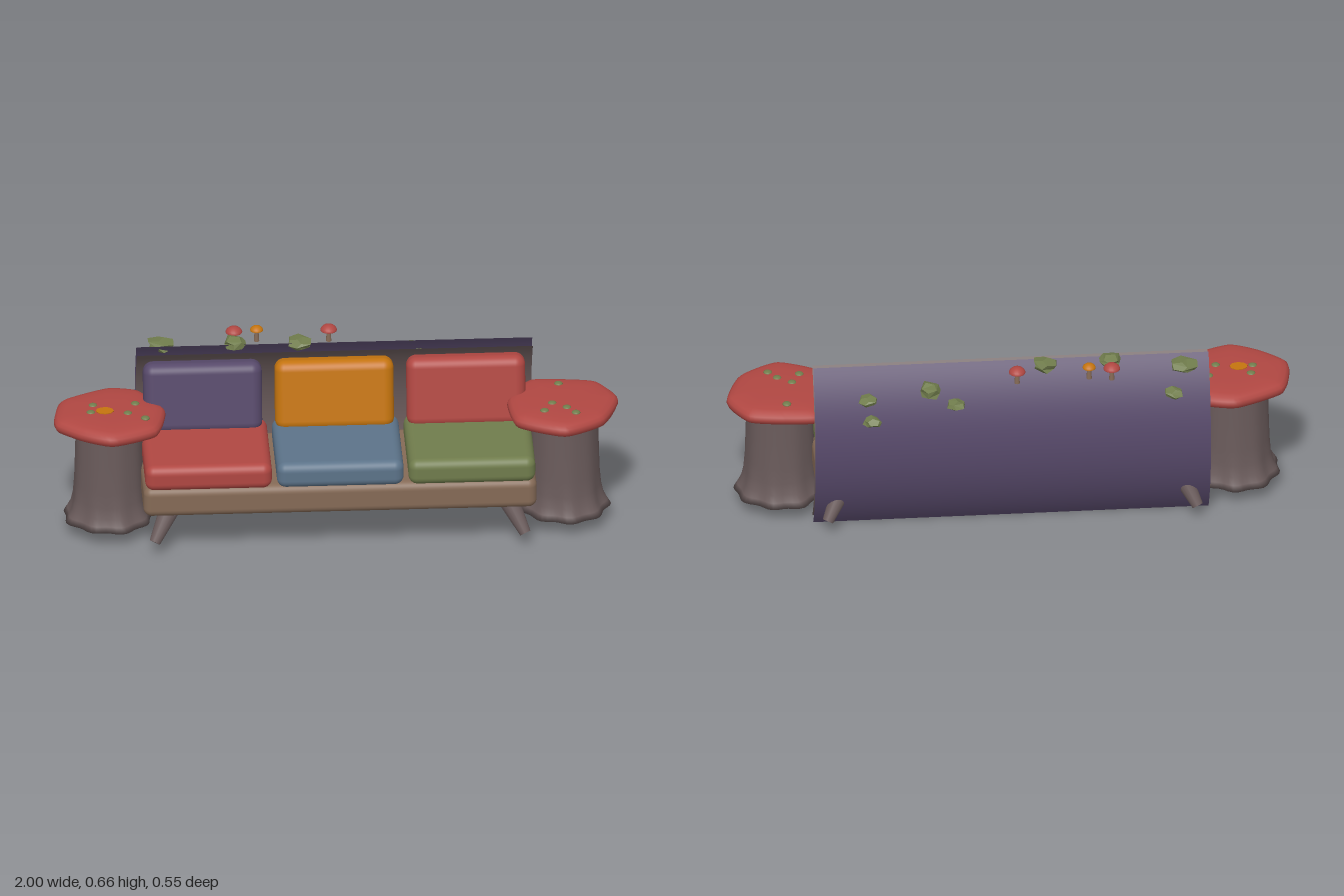
import * as THREE from 'three';
import { mergeVertices } from 'three/addons/utils/BufferGeometryUtils.js';
import { RoundedBoxGeometry } from 'three/addons/geometries/RoundedBoxGeometry.js';

const mat = (name, color, side = THREE.FrontSide) => {
  const m = new THREE.MeshStandardMaterial({ color, side });
  m.name = name;
  return m;
};

export function createModel() {
  const root = new THREE.Group();
  root.name = 'logSofa';
  const red = mat('mushroomRed', 0xb04742);
  const orange = mat('orange', 0xc4740f);
  const purple = mat('plum', 0x57496a, THREE.DoubleSide);
  const blue = mat('slateBlue', 0x5c7389);
  const green = mat('mossGreen', 0x707c4c);
  const brown = mat('woodBrown', 0x856a56);
  const bark = mat('bark', 0x6a5b5b, THREE.DoubleSide);
  const moss = mat('mossClump', 0x707c4c);
  moss.flatShading = true;

  const add = (parent, name, geo, material, x = 0, y = 0, z = 0) => {
    const m = new THREE.Mesh(geo, material);
    m.name = name;
    m.position.set(x, y, z);
    parent.add(m);
    return m;
  };
  // Join seams and smooth the normals
  const smooth = (geo) => {
    geo.deleteAttribute('normal');
    geo.deleteAttribute('uv');
    const g = mergeVertices(geo, 1e-5);
    g.computeVertexNormals();
    return g;
  };
  const profile = (pts) => pts.map(([r, y]) => new THREE.Vector2(r, y));

  // Base and cushions
  add(root, 'seatBase', new RoundedBoxGeometry(1.39, 0.114, 0.43, 5, 0.03), brown, 0, 0.218, 0.045);
  [[red, purple], [blue, orange], [green, red]].forEach(([seat, back], i) => {
    const x = (i - 1) * 0.4655;
    add(root, 'seatCushion', new RoundedBoxGeometry(0.448, 0.096, 0.386, 5, 0.032), seat, x, 0.319, 0.083);
    const b = add(root, 'backCushion', new RoundedBoxGeometry(0.42, 0.255, 0.092, 6, 0.036), back, x - 0.004, 0.468, -0.078);
    b.rotation.x = -0.18;
  });

  // Curved log backrest: two nested bark sheets, open at the ends
  const sheet = (name, material, zEdge, zMid, y0, y1) => {
    const h = (y1 - y0) / 2, s = zEdge - zMid, R = (h * h + s * s) / (2 * s);
    const half = Math.asin(h / R);
    const g = new THREE.PlaneGeometry(1.4, 1, 1, 28);
    const p = g.attributes.position;
    for (let i = 0; i < p.count; i++) {
      const a = p.getY(i) * 2 * half;
      p.setY(i, (y0 + y1) / 2 + R * Math.sin(a));
      p.setZ(i, zMid + R * (1 - Math.cos(a)));
    }
    g.computeVertexNormals();
    add(root, name, g, material);
  };
  sheet('logOuter', purple, -0.14, -0.25, 0, 0.635);
  sheet('logInner', bark, -0.1, -0.218, 0.006, 0.622);

  // Splayed legs
  for (const sx of [-1, 1]) for (const sz of [-1, 1]) {
    const top = new THREE.Vector3(sx * 0.588, 0.178, 0.005 + sz * 0.163);
    const foot = new THREE.Vector3(sx * 0.655, 0.053, 0.005 + sz * 0.23);
    const dir = top.clone().sub(foot);
    const leg = add(root, 'leg', new THREE.CylinderGeometry(0.04, 0.02, dir.length(), 16), bark);
    leg.position.copy(top).add(foot).multiplyScalar(0.5);
    leg.quaternion.setFromUnitVectors(new THREE.Vector3(0, 1, 0), dir.normalize());
  }

  // Small clumps of moss, shaken by a seeded rule
  const clump = (x, y, z, r, h, seed) => {
    const g = new THREE.DodecahedronGeometry(1, 0);
    const p = g.attributes.position;
    for (let i = 0; i < p.count; i++) {
      const [a, b, c] = [p.getX(i), p.getY(i), p.getZ(i)];
      const k = 1 + 0.16 * Math.sin(a * 7.1 + b * 5.3 + c * 9.7 + seed * 2.3);
      p.setXYZ(i, a * r * k, b * h * k, c * r * k);
    }
    g.computeVertexNormals();
    add(root, 'mossClump', g, moss, x, y, z).rotation.y = seed;
  };
  [[-0.61, 0.617, -0.195, 0.05, 0.022], [-0.57, 0.525, -0.228, 0.036, 0.02],
    [-0.35, 0.632, -0.165, 0.043, 0.022], [-0.12, 0.625, -0.16, 0.045, 0.024],
    [0.2, 0.515, -0.23, 0.035, 0.02], [0.29, 0.565, -0.207, 0.043, 0.028],
    [0.51, 0.54, -0.22, 0.034, 0.02], [0.5, 0.466, -0.24, 0.034, 0.018],
  ].forEach((c, i) => clump(...c, i + 1));

  // Little mushrooms along the log
  const capTop = profile([[1, 0], [1.02, 0.12], [0.92, 0.4], [0.65, 0.72], [0.3, 0.88], [0, 0.92]]);
  const mushroom = (x, y, z, r, material) => {
    const g = new THREE.Group();
    g.name = 'smallMushroom';
    g.position.set(x, y, z);
    root.add(g);
    add(g, 'stem', new THREE.CylinderGeometry(0.007, 0.01, 0.045, 10), brown, 0, -0.02, 0);
    add(g, 'cap', new THREE.LatheGeometry(capTop, 20), material).scale.set(r, r * 0.8, r);
    add(g, 'gills', new THREE.CircleGeometry(r, 20), purple).rotation.x = Math.PI / 2;
  };
  mushroom(-0.35, 0.637, -0.232, 0.029, red);
  mushroom(-0.27, 0.644, -0.23, 0.023, orange);
  mushroom(-0.015, 0.637, -0.23, 0.029, red);

  // Stump arms with wide irregular mushroom tops
  const barkProfile = profile([[0, 0.055], [0.158, 0.055], [0.147, 0.075], [0.135, 0.1], [0.127, 0.14],
    [0.123, 0.2], [0.12, 0.3], [0.117, 0.42]]);
  const slab = profile([[0.9, 0.415], [0.965, 0.42], [1, 0.435], [0.985, 0.448], [0.93, 0.458],
    [0.82, 0.465], [0.6, 0.469], [0.3, 0.47], [0, 0.47]]);
  const under = profile([[0, 0.422], [0.55, 0.418], [0.9, 0.415]]);
  const shapeSlab = (pts, outline) => {
    const seg = 64;
    const g = new THREE.LatheGeometry(pts, seg);
    const p = g.attributes.position;
    for (let i = 0; i <= seg; i++) {
      const o = outline.getPoint((i % seg) / seg);
      for (let j = 0; j < pts.length; j++) {
        const k = i * pts.length + j;
        p.setX(k, o.x * pts[j].x);
        p.setZ(k, o.z * pts[j].x);
      }
    }
    return smooth(g);
  };
  const arm = (name, cx, cz, outlinePts, spots) => {
    const g = new THREE.Group();
    g.name = name;
    g.position.set(cx, 0, cz);
    root.add(g);
    // Trunk with fluted, flaring foot
    const t = new THREE.LatheGeometry(barkProfile, 54);
    const p = t.attributes.position;
    for (let i = 0; i < p.count; i++) {
      const x = p.getX(i), y = p.getY(i), z = p.getZ(i), a = Math.atan2(x, z);
      const flare = Math.max(0, (0.18 - y) / 0.125);
      const k = 1 + (0.008 + 0.035 * flare) * Math.sin(9 * a + cx) + 0.02 * flare * Math.sin(4 * a);
      p.setX(i, x * k);
      p.setZ(i, z * k);
    }
    add(g, 'trunk', smooth(t), bark);
    const outline = new THREE.CatmullRomCurve3(
      outlinePts.map(([x, z]) => new THREE.Vector3(x - cx, 0, z - cz)), true, 'catmullrom', 0.3);
    add(g, 'armTop', shapeSlab(slab, outline), red);
    add(g, 'armGills', shapeSlab(under, outline), purple);
    for (const [x, z] of spots) {
      add(g, 'spot', new THREE.SphereGeometry(0.016, 12, 8), green, x - cx, 0.468, z - cz).scale.y = 0.5;
    }
    return g;
  };
  const rightArm = arm('rightArm', -0.805, 0.012,
    [[-0.797, 0.206], [-0.64, 0.136], [-0.604, -0.013], [-0.645, -0.09], [-0.69, -0.163],
      [-0.8, -0.185], [-0.968, -0.1], [-1, 0.02], [-0.993, 0.083], [-0.904, 0.16]],
    [[-0.86, -0.025], [-0.87, 0.028], [-0.71, -0.03], [-0.74, 0.04], [-0.68, 0.08]]);
  arm('leftArm', 0.805, 0.02,
    [[0.797, 0.217], [0.94, 0.136], [0.997, -0.02], [0.93, -0.14], [0.807, -0.165],
      [0.69, -0.168], [0.63, -0.1], [0.604, -0.01], [0.63, 0.136]],
    [[0.79, -0.1], [0.73, 0.1], [0.76, 0.045], [0.81, 0.08], [0.84, 0.12]]);
  // Orange patch on one arm
  const patch = add(rightArm, 'orangePatch', new THREE.CylinderGeometry(0.032, 0.032, 0.004, 9), orange, -0.015, 0.4705, 0.01);
  patch.scale.z = 0.8;

  return root;
}
